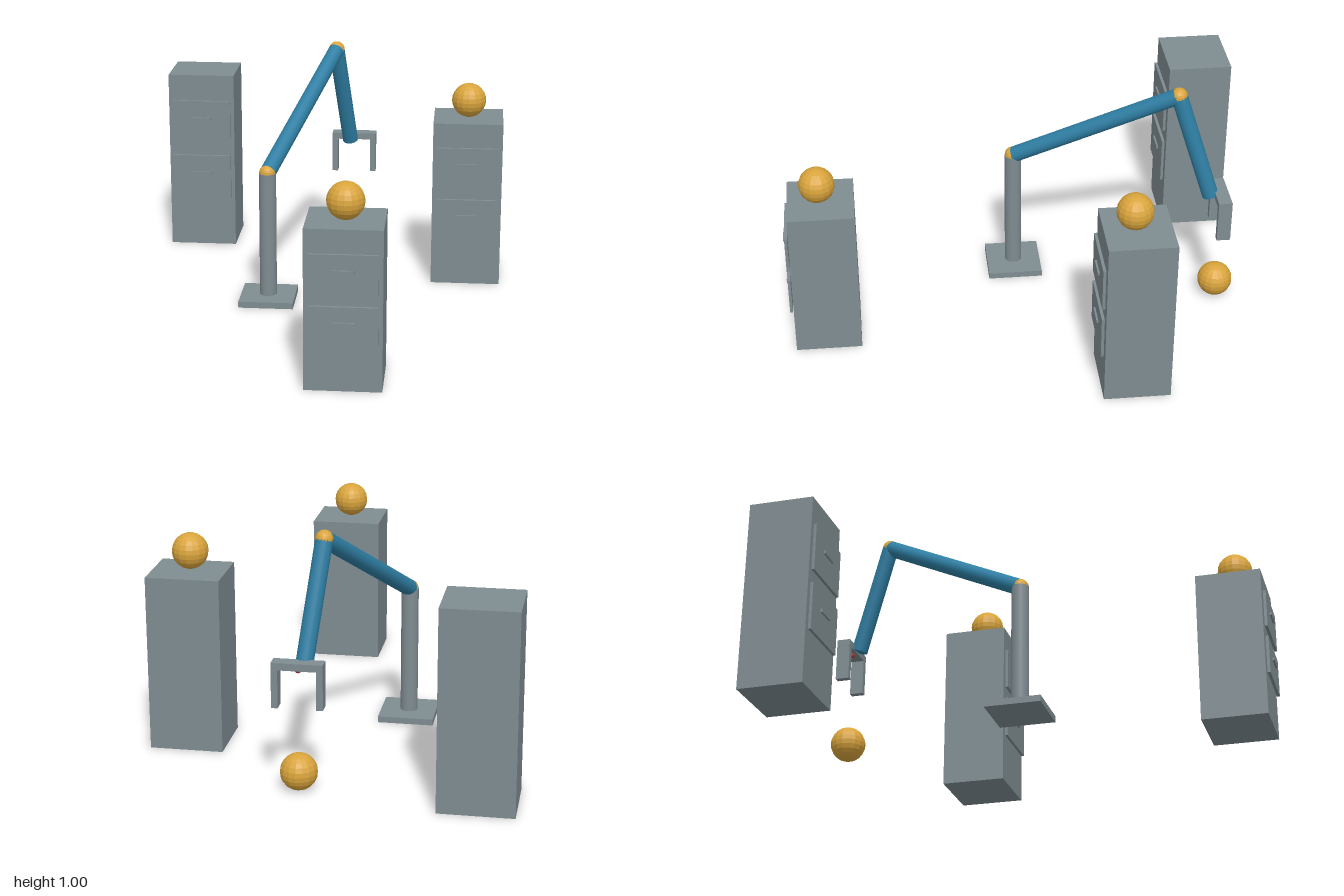
import * as THREE from 'three';

const mat = (name, color) => {
  const m = new THREE.MeshStandardMaterial({ color });
  m.name = name;
  return m;
};

export function createModel() {
  const model = new THREE.Group();
  const grey = mat('steel grey', 0x7f8c91);
  const blue = mat('arm blue', 0x2e7ea3);
  const gold = mat('gold', 0xd9a43c);
  const red = mat('sensor red', 0xb5443a);

  const add = (parent, name, geometry, material, x, y, z) => {
    const mesh = new THREE.Mesh(geometry, material);
    mesh.name = name;
    mesh.position.set(x, y, z);
    parent.add(mesh);
    return mesh;
  };
  const box = (parent, name, w, h, d, x, y, z) =>
    add(parent, name, new THREE.BoxGeometry(w, h, d), grey, x, y, z);

  // Faceted sphere
  const ball = (parent, name, r, material, x, y, z) => {
    const g = new THREE.SphereGeometry(r, 16, 12).toNonIndexed();
    g.computeVertexNormals();
    return add(parent, name, g, material, x, y, z);
  };

  // Round bar between two points
  const bar = (parent, name, a, b, r, material) => {
    const dir = b.clone().sub(a);
    const mid = a.clone().add(b).multiplyScalar(0.5);
    const mesh = add(parent, name, new THREE.CylinderGeometry(r, r, dir.length(), 20), material, mid.x, mid.y, mid.z);
    mesh.quaternion.setFromUnitVectors(new THREE.Vector3(0, 1, 0), dir.normalize());
  };

  // Filing cabinets: two drawers whose sizes follow the cabinet height
  const cabinet = (name, x, z, h) => {
    const g = new THREE.Group();
    g.name = name;
    g.position.set(x, 0, z);
    box(g, 'cabinetBody', 0.304, h, 0.276, 0, h / 2, 0);
    for (const [drawerY, handleY] of [[0.41, 0.432], [0.73, 0.752]]) {
      box(g, 'drawerFront', 0.27, 0.25 * h, 0.012, 0, drawerY * h, 0.148);
      box(g, 'drawerHandle', 0.09, 0.018 * h, 0.012, 0, handleY * h, 0.156);
    }
    model.add(g);
  };
  cabinet('tallCabinet', -0.622, -0.862, 0.82);
  cabinet('shortCabinet', 0.167, 0.835, 0.652);
  cabinet('middleCabinet', 0.62, -0.411, 0.735);

  // Loose balls
  ball(model, 'shortCabinetBall', 0.075, gold, 0.167, 0.727, 0.846);
  ball(model, 'middleCabinetBall', 0.075, gold, 0.62, 0.813, -0.398);
  ball(model, 'floorBall', 0.075, gold, 0.085, 0.075, -0.86);

  // Jointed arm on its stand
  const arm = new THREE.Group();
  arm.name = 'robotArm';
  model.add(arm);
  const shoulder = new THREE.Vector3(-0.23, 0.573, 0);
  const elbow = new THREE.Vector3(0.014, 0.968, -0.672);
  const wrist = new THREE.Vector3(0.068, 0.502, -0.82);
  box(arm, 'basePlate', 0.236, 0.027, 0.236, -0.23, 0.0135, 0);
  bar(arm, 'column', new THREE.Vector3(-0.23, 0.027, 0), shoulder, 0.037, grey);
  ball(arm, 'shoulderJoint', 0.036, gold, ...shoulder.toArray());
  bar(arm, 'upperArm', shoulder, elbow, 0.035, blue);
  ball(arm, 'elbowJoint', 0.036, gold, ...elbow.toArray());
  bar(arm, 'forearm', elbow, wrist, 0.035, blue);

  // Two-finger gripper
  const gripper = new THREE.Group();
  gripper.name = 'gripper';
  gripper.position.set(0.084, 0, -0.863);
  arm.add(gripper);
  box(gripper, 'gripperBar', 0.203, 0.029, 0.058, 0, 0.515, 0);
  for (const side of [-1, 1]) {
    box(gripper, 'gripperFinger', 0.026, 0.155, 0.058, side * 0.0885, 0.4225, 0);
  }
  ball(gripper, 'gripperSensor', 0.015, red, 0, 0.499, 0);

  return model;
}
